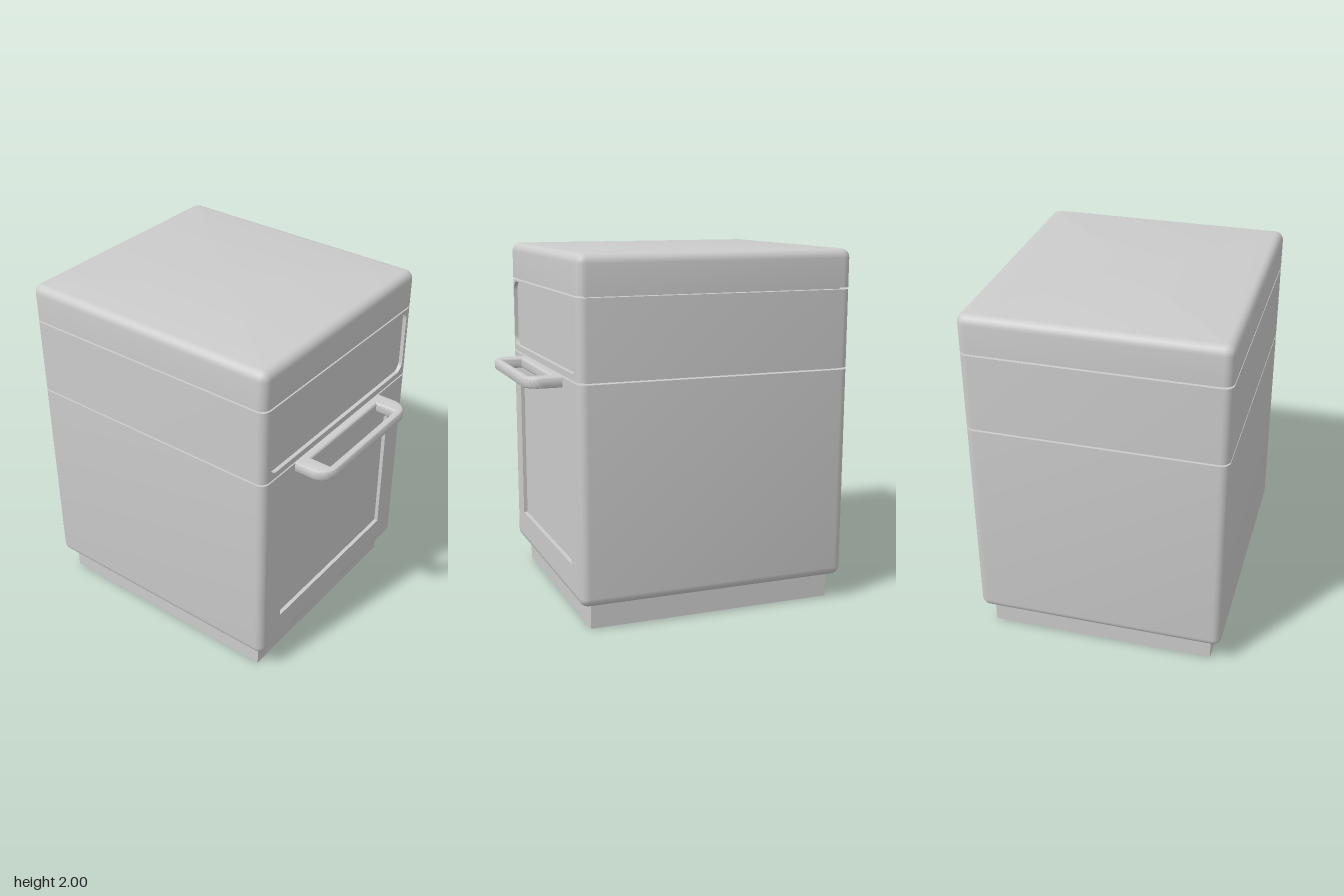
import * as THREE from 'three';
import { toCreasedNormals } from 'three/addons/utils/BufferGeometryUtils.js';

const W = 0.705, FRONT = 0.68, BACK = -0.88, R = 0.05;
const MID = (FRONT + BACK) / 2, D = (FRONT - BACK) / 2;
const BAND_LOW = [0.19, 1.338], BAND_TOP = [1.348, 1.78];

// Rounded rectangle path; rb rounds the y0 corners, rt the y1 corners
function roundRect(path, x0, x1, y0, y1, rb = 0, rt = rb) {
  path.moveTo(x0 + rb, y0);
  path.lineTo(x1 - rb, y0);
  if (rb) path.absarc(x1 - rb, y0 + rb, rb, -Math.PI / 2, 0);
  path.lineTo(x1, y1 - rt);
  if (rt) path.absarc(x1 - rt, y1 - rt, rt, 0, Math.PI / 2);
  path.lineTo(x0 + rt, y1);
  if (rt) path.absarc(x0 + rt, y1 - rt, rt, Math.PI / 2, Math.PI);
  path.lineTo(x0, y0 + rb);
  if (rb) path.absarc(x0 + rb, y0 + rb, rb, Math.PI, Math.PI * 1.5);
  return path;
}

// Horizontal section of the cabinet, from the front +x corner round the back
function ring(inset, y) {
  const pts = [], r = R - inset, n = 6;
  [[1, 1], [1, -1], [-1, -1], [-1, 1]].forEach(([sx, sz], k) => {
    for (let i = 0; i <= n; i++) {
      const a = Math.PI / 2 * (1 - k - i / n);
      pts.push([sx * (W - R) + r * Math.cos(a), y, MID + sz * (D - R) + r * Math.sin(a)]);
    }
  });
  return pts;
}

// Lofted shell with grooves; the front of the two bands is left open for the fascias
function shellGeometry() {
  const profile = [], n = 6, e = 0.048, g = 0.045;
  for (let i = 0; i <= n; i++) {
    const a = Math.PI / 2 * i / n;
    profile.push([e * (1 - Math.sin(a)), 0.19 - 0.05 * Math.cos(a)]);
  }
  const open = [n];
  for (const [low, high] of [[1.338, 1.348], [1.78, 1.79]]) {
    profile.push([0, low], [g, low], [g, high], [0, high]);
    if (low < 1.5) open.push(profile.length - 1);
  }
  for (let i = 0; i <= n; i++) {
    const a = Math.PI / 2 * i / n;
    profile.push([e * (1 - Math.cos(a)), 1.95 + 0.05 * Math.sin(a)]);
  }
  const rings = profile.map(([inset, y]) => ring(inset, y));
  const pos = [], tri = (a, b, c) => pos.push(...a, ...b, ...c);
  const count = rings[0].length;
  for (let j = 0; j < rings.length - 1; j++) {
    for (let i = 0; i < count; i++) {
      if (i === count - 1 && open.includes(j)) continue;
      const k = (i + 1) % count, a = rings[j], b = rings[j + 1];
      tri(a[i], a[k], b[k]);
      tri(a[i], b[k], b[i]);
    }
  }
  const last = rings[rings.length - 1];
  for (let i = 0; i < count; i++) {
    const k = (i + 1) % count;
    tri([0, 0.14, MID], rings[0][k], rings[0][i]);
    tri([0, 2, MID], last[i], last[k]);
  }
  const geo = new THREE.BufferGeometry();
  geo.setAttribute('position', new THREE.Float32BufferAttribute(pos, 3));
  return toCreasedNormals(geo, 0.6);
}

export function createModel() {
  const group = new THREE.Group();
  const material = new THREE.MeshStandardMaterial({ color: 0xcccccc });
  const add = (name, geo) => {
    const mesh = new THREE.Mesh(geo, material);
    mesh.name = name;
    group.add(mesh);
    return mesh;
  };

  add('cabinet', shellGeometry());

  // Plinth
  add('plinth', new THREE.BoxGeometry(1.28, 0.16, 1.42)).position.set(0, 0.08, -0.1);

  // Front fascias, each with a recessed panel
  const depth = 0.022;
  const fascia = (name, [y0, y1], ...panel) => {
    const shape = roundRect(new THREE.Shape(), R - W, W - R, y0, y1);
    shape.holes.push(roundRect(new THREE.Path(), ...panel));
    const frame = new THREE.ExtrudeGeometry(shape, { depth, bevelEnabled: false, curveSegments: 8 });
    add(name + 'Frame', toCreasedNormals(frame, 0.6)).position.z = FRONT - depth;
    const floor = new THREE.ShapeGeometry(roundRect(new THREE.Shape(), ...panel), 8);
    add(name + 'Panel', floor).position.z = FRONT - depth;
  };
  fascia('door', BAND_LOW, -0.53, 0.522, 0.335, 1.14);
  fascia('control', BAND_TOP, -0.648, 0.645, 1.383, 1.77, 0.055);

  // Loop handle
  const bar = roundRect(new THREE.Shape(), -0.428, 0.405, 0.66, 0.88, 0, 0.1);
  bar.holes.push(roundRect(new THREE.Path(), -0.336, 0.31, 0.72, 0.836));
  const b = 0.014;
  const handle = new THREE.ExtrudeGeometry(bar, {
    depth: 0.06 - 2 * b, bevelThickness: b, bevelSize: b, bevelOffset: -b, bevelSegments: 4, curveSegments: 10,
  });
  handle.rotateX(Math.PI / 2);
  add('handle', toCreasedNormals(handle, 0.6)).position.y = 1.34 - b;

  return group;
}
